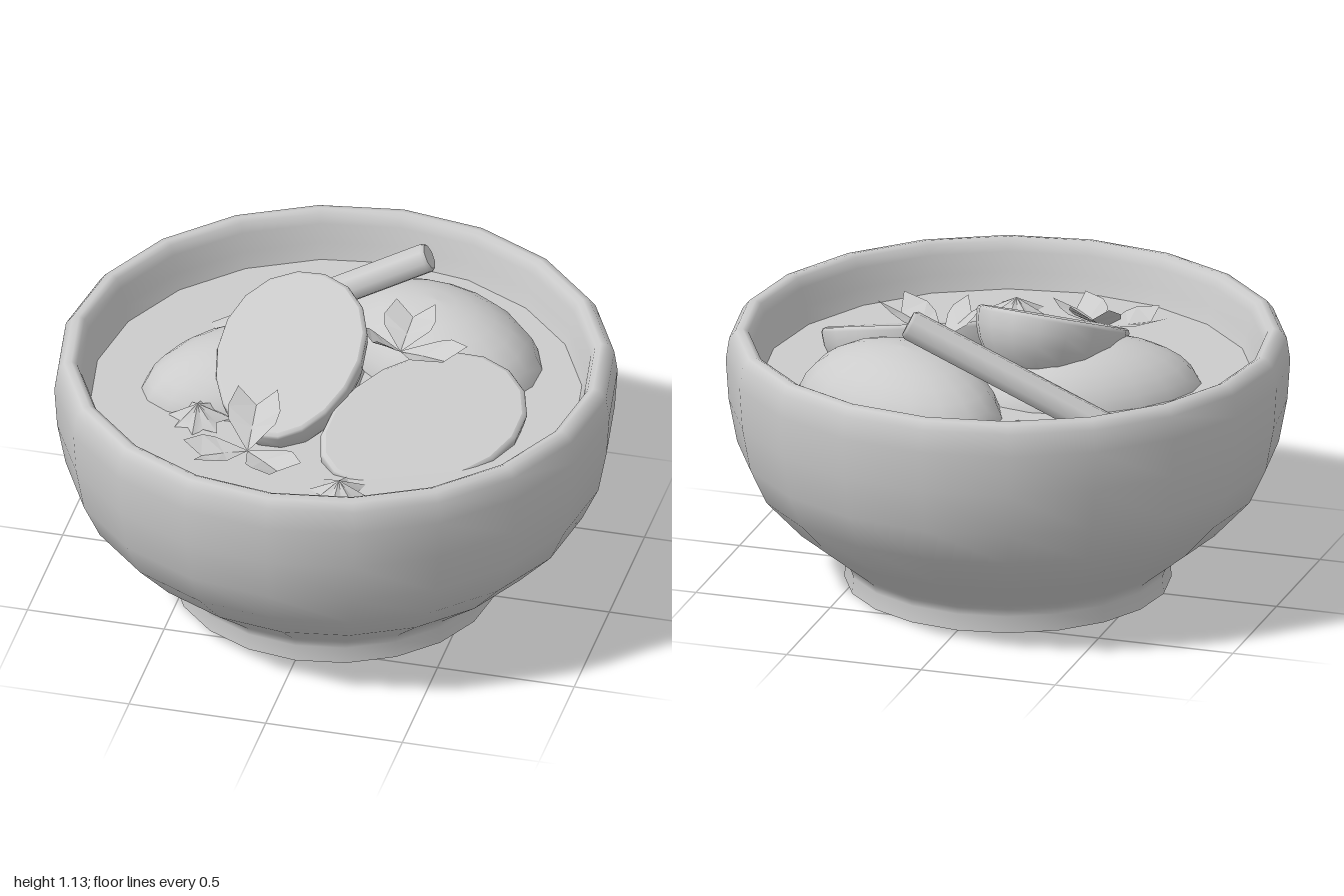
import * as THREE from 'three';

const SIDES = 20;
const LIQUID_Y = 0.76;
const grey = new THREE.MeshStandardMaterial({ color: 0xcccccc });
const thin = new THREE.MeshStandardMaterial({ color: 0xcccccc, side: THREE.DoubleSide, flatShading: true });
const UP = new THREE.Vector3(0, 1, 0);

function addMesh(parent, name, geometry, material = grey) {
  const mesh = new THREE.Mesh(geometry, material);
  mesh.name = name;
  parent.add(mesh);
  return mesh;
}

const lathe = (pairs, sides) =>
  new THREE.LatheGeometry(pairs.map(([x, y]) => new THREE.Vector2(x, y)), sides);

// Half fruit: dome below, flat cut face on top, slightly egg-shaped along x
function halfFruitGeometry(length, width, depth) {
  const profile = [];
  for (let i = 0; i <= 8; i++) {
    const a = (i / 8) * Math.PI / 2;
    profile.push([Math.sin(a), -0.06 - 0.94 * Math.cos(a)]);
  }
  profile.push([0.985, -0.02], [0.95, 0], [0.95, 0], [0, 0]);
  const geo = lathe(profile, 18);
  const pos = geo.attributes.position;
  for (let i = 0; i < pos.count; i++) {
    const x = pos.getX(i);
    pos.setXYZ(i, x * length, pos.getY(i) * depth, pos.getZ(i) * width * (1 + 0.1 * x));
  }
  // Recompute dome normals analytically through the stretch
  const nor = geo.attributes.normal;
  const n = new THREE.Vector3();
  for (let i = 0; i < nor.count; i++) {
    n.fromBufferAttribute(nor, i);
    n.set(n.x / length, n.y / depth, n.z / width).normalize();
    nor.setXYZ(i, n.x, n.y, n.z);
  }
  return geo;
}

// Eight-pointed star with a raised centre and closed underside
function starGeometry(radius) {
  const geo = new THREE.ConeGeometry(radius, 0.06, 16);
  const pos = geo.attributes.position;
  for (let i = 0; i < pos.count; i++) {
    const x = pos.getX(i), z = pos.getZ(i);
    if (Math.hypot(x, z) < 0.01) continue;
    const step = Math.round(Math.atan2(x, z) / (Math.PI / 8));
    const s = step % 2 ? 0.62 : 1;
    pos.setX(i, x * s);
    pos.setZ(i, z * s);
  }
  geo.computeVertexNormals();
  return geo;
}

// Notched leaf growing along +z, folded along its midrib
function leafGeometry(length, width) {
  const mid = [[0, 0, 0], [0, 0.01, 0.4], [0, 0.0, 0.78]];
  const edge = [[0.12, 0.02, 0.05], [0.9, 0.1, 0.45], [1, 0.14, 0.65], [0.75, 0.14, 1]];
  const tris = [];
  for (const s of [-1, 1]) {
    const e = edge.map(([x, y, z]) => [x * s, y, z]);
    const faces = [[mid[0], e[0], mid[1]], [e[0], e[1], mid[1]], [mid[1], e[1], e[2]],
      [mid[1], e[2], mid[2]], [mid[2], e[2], e[3]]];
    for (const [a, b, c] of faces) tris.push(...(s > 0 ? [a, c, b] : [a, b, c]));
  }
  const geo = new THREE.BufferGeometry();
  geo.setAttribute('position', new THREE.Float32BufferAttribute(
    tris.flatMap(([x, y, z]) => [x * width / 2, y * length, z * length]), 3));
  geo.computeVertexNormals();
  return geo;
}

export function createModel() {
  const model = new THREE.Group();
  model.name = 'bowlOfFruit';

  // Bowl: foot, outer wall, rim and inner wall in one turned profile
  addMesh(model, 'bowl', lathe([
    [0, 0], [0.58, 0], [0.58, 0], [0.575, 0.06], [0.585, 0.09], [0.62, 0.12],
    [0.77, 0.24], [0.9, 0.38], [0.96, 0.51], [0.99, 0.67], [1, 0.82], [0.988, 0.9],
    [0.965, 0.93], [0.94, 0.935], [0.92, 0.925], [0.905, 0.89], [0.89, 0.82], [0.867, 0.74],
    [0.8, 0.55], [0.6, 0.28], [0, 0.16],
  ], SIDES));

  // Liquid surface
  const liquid = addMesh(model, 'liquid', lathe([[0.875, 0], [0, 0]], SIDES));
  liquid.position.y = LIQUID_Y;

  // Fruit halves: position of the cut face, its normal, heading and size
  const fruits = [
    ['fruitDomeBack', [0.27, 0.7, -0.37], [0, -1, 0], 0.5, [0.43, 0.3, 0.27]],
    ['fruitDomeLeft', [-0.31, 0.7, -0.02], [0, -1, 0], -0.5, [0.41, 0.28, 0.24]],
    ['fruitHalfCentre', [-0.15, 0.965, 0.09], [-0.06, 1, 0.4], Math.PI / 2, [0.37, 0.265, 0.27]],
    ['fruitHalfRight', [0.37, 0.84, 0.21], [0.15, 1, 0.33], 0.8, [0.4, 0.27, 0.27]],
  ];
  for (const [name, at, normal, yaw, size] of fruits) {
    const fruit = addMesh(model, name, halfFruitGeometry(...size));
    fruit.position.set(...at);
    if (normal[1] < 0) {
      // Cut face down, then turned to its heading
      fruit.rotation.set(Math.PI, -yaw, 0, 'YXZ');
    } else {
      fruit.quaternion.setFromUnitVectors(UP, new THREE.Vector3(...normal).normalize())
        .multiply(new THREE.Quaternion().setFromAxisAngle(UP, yaw));
    }
  }

  // Spice stick leaning out of the liquid
  const low = new THREE.Vector3(-0.56, 0.69, -0.325);
  const high = new THREE.Vector3(0.225, 1.09, -0.455);
  const along = high.clone().sub(low);
  const stick = addMesh(model, 'spiceStick', lathe([
    [0, -0.5], [0.05, -0.5], [0.056, -0.49], [0.056, 0.485], [0.046, 0.5], [0.046, 0.5], [0, 0.5],
  ].map(([r, t]) => [r, t * along.length()]), 8));
  stick.position.copy(low).add(high).multiplyScalar(0.5);
  stick.quaternion.setFromUnitVectors(UP, along.normalize());

  // Star spices floating on the liquid
  const stars = [[-0.22, 0.785, -0.56, 0, 0], [-0.43, 0.8, 0.28, 0.15, 0.1], [0.17, 0.785, 0.62, 0, 0]];
  for (const [x, y, z, tiltX, tiltZ] of stars) {
    const star = addMesh(model, 'starSpice', starGeometry(0.12));
    star.position.set(x, y, z);
    star.rotation.set(tiltX, 0, tiltZ);
  }

  // Leaf sprigs: base point, then each leaf's heading, pitch, length and width
  const sprigs = [
    [[-0.2, 0.79, 0.48], [[3.2, 0.5, 0.24, 0.19], [-1.05, 0.06, 0.22, 0.18], [0.85, 0.08, 0.24, 0.18]]],
    [[0.21, 0.91, -0.1], [[3.12, 0.25, 0.22, 0.19], [1.12, 0.22, 0.27, 0.18], [-0.75, 0.6, 0.18, 0.15]]],
  ];
  for (const [base, leaves] of sprigs) {
    const sprig = new THREE.Group();
    sprig.name = 'leafSprig';
    sprig.position.set(...base);
    for (const [heading, pitch, length, width] of leaves) {
      const leaf = addMesh(sprig, 'leaf', leafGeometry(length, width), thin);
      leaf.rotation.set(-pitch, heading, 0, 'YXZ');
    }
    model.add(sprig);
  }
  return model;
}
